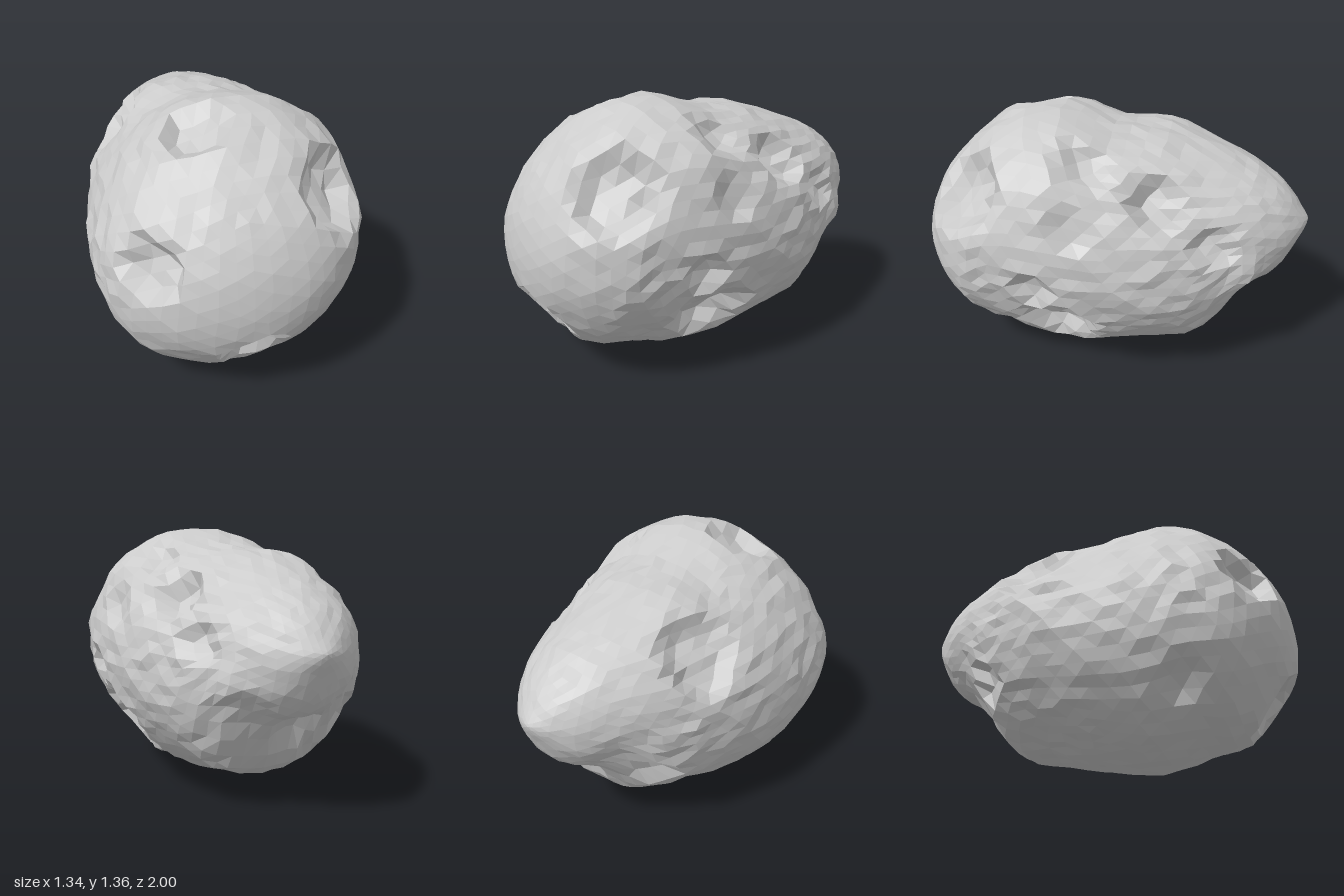
import * as THREE from 'three';

// Half width, top and bottom of the rock at every 15 degrees from the blunt front to the pointed back
const profile = (values) => new THREE.SplineCurve(values.map((v, i) => new THREE.Vector2(i, v)));
const HALF_WIDTH = profile([0, 0.25, 0.44, 0.59, 0.645, 0.66, 0.64, 0.585, 0.48, 0.345, 0.22, 0.09, 0]);
const TOP = profile([0.6, 0.82, 1.01, 1.18, 1.32, 1.35, 1.27, 1.23, 1.16, 1.08, 0.98, 0.86, 0.81]);
const BOTTOM = profile([0.6, 0.42, 0.27, 0.12, 0.06, 0.0, 0.04, 0.1, 0.17, 0.43, 0.54, 0.72, 0.81]);

// Craters: x, y, z, radius, depth
const CRATERS = [
  [-0.43, 0.79, 0.8, 0.17, 0.1],
  [0.02, 0.32, 0.87, 0.2, 0.1],
  [0.43, 1.02, 0.65, 0.23, 0.12],
  [-0.16, 1.28, 0.44, 0.18, 0.09],
  [0.55, 0.33, 0.23, 0.22, 0.11],
  [0.43, 1.05, -0.28, 0.17, 0.1],
  [0.36, 1.16, 0.1, 0.14, 0.05],
  [0.56, 0.92, 0.09, 0.12, 0.04],
  [0.64, 0.62, 0.32, 0.11, 0.05],
  [0.4, 0.82, -0.56, 0.12, 0.05],
  [-0.45, 1.0, -0.29, 0.24, 0.08],
  [-0.36, 0.42, -0.55, 0.14, 0.06],
  [-0.02, 0.42, -0.72, 0.13, 0.05],
  [-0.52, 0.28, 0.5, 0.14, 0.04],
  [0.25, 0.1, 0.1, 0.1, 0.03],
];

// Mounds: x, y, z, radius, height
const MOUNDS = [
  [0.33, 0.63, -0.7, 0.11, 0.05],
  [0.5, 1.1, 0.3, 0.16, 0.02],
  [-0.25, 1.2, -0.25, 0.25, 0.02],
];

// Repeatable value in -1..1 for a position, so shared corners move together
function jitter(p, seed) {
  const k = (v) => Math.round(v * 1000);
  const s = Math.sin(k(p.x) * 0.129 + k(p.y) * 0.782 + k(p.z) * 0.377 + seed) * 43758.5453;
  return 2 * (s - Math.floor(s)) - 1;
}

// Maps a point of the unit sphere to the uncratered body, twisting its squareness from front to back
function bodyPoint(s) {
  const t = Math.acos(THREE.MathUtils.clamp(s.z, -1, 1)) / Math.PI;
  const a = Math.atan2(s.y, s.x);
  const top = TOP.getPoint(t).y, bottom = BOTTOM.getPoint(t).y;
  const skew = 1 + (0.08 * THREE.MathUtils.smoothstep(s.z, -0.5, 0.3) - 0.03) * Math.sin(2 * a);
  return new THREE.Vector3(
    HALF_WIDTH.getPoint(t).y * skew * Math.cos(a),
    (top + bottom) / 2 + ((top - bottom) / 2) * skew * Math.sin(a),
    s.z
  );
}

function bodyPoints(geometry) {
  const pos = geometry.attributes.position;
  const points = [];
  for (let i = 0; i < pos.count; i++) {
    points.push(bodyPoint(new THREE.Vector3().fromBufferAttribute(pos, i).normalize()));
  }
  return points;
}

// Flat floor, steep wall, slightly raised rim
function craterProfile(q) {
  if (q > 1.35) return 0;
  if (q > 0.95) return 0.07 * Math.sin(((q - 0.95) / 0.4) * Math.PI);
  return -(1 - THREE.MathUtils.smoothstep(q, 0.5, 0.95));
}

const moundProfile = (q) => Math.exp(-2 * q * q);

export function createModel() {
  const group = new THREE.Group();
  group.name = 'asteroid';

  const geometry = new THREE.IcosahedronGeometry(1, 11);
  const pos = geometry.attributes.position;
  const body = bodyPoints(geometry);
  const denseBody = bodyPoints(new THREE.SphereGeometry(1, 120, 80));

  // Snap a feature to the surface and find its outward direction
  const place = (shape) => ([x, y, z, radius, height]) => {
    const wanted = new THREE.Vector3(x, y, z);
    const center = denseBody.reduce((a, b) => (b.distanceToSquared(wanted) < a.distanceToSquared(wanted) ? b : a));
    const out = center.clone().sub(new THREE.Vector3(0, 0.68, center.z * 0.6)).normalize();
    return { center, out, radius, height, shape };
  };
  const features = [...CRATERS.map(place(craterProfile)), ...MOUNDS.map(place(moundProfile))];

  body.forEach((base, i) => {
    const p = base.clone();
    // Carve the craters and raise the mounds
    for (const f of features) {
      const q = base.distanceTo(f.center) / f.radius + 0.06 * jitter(base, 5);
      p.addScaledVector(f.out, f.height * f.shape(q));
    }
    // Rough, lumpy surface, calmer at the two ends
    const out = new THREE.Vector3(base.x, base.y - 0.68, base.z * 0.5).normalize();
    const calm = 1 - base.z ** 4;
    p.addScaledVector(out, 0.008 * calm * jitter(base, 1));
    p.x += 0.008 * calm * jitter(base, 2);
    p.z += 0.008 * calm * jitter(base, 3);
    pos.setXYZ(i, p.x, p.y, p.z);
  });

  // Centre on the ground
  geometry.computeBoundingBox();
  const mid = geometry.boundingBox.getCenter(new THREE.Vector3());
  geometry.translate(-mid.x, -geometry.boundingBox.min.y, -mid.z);
  geometry.computeVertexNormals();

  const rock = new THREE.Mesh(geometry, new THREE.MeshStandardMaterial({ color: 0xcccccc, flatShading: true }));
  rock.name = 'crateredRock';
  group.add(rock);
  return group;
}
